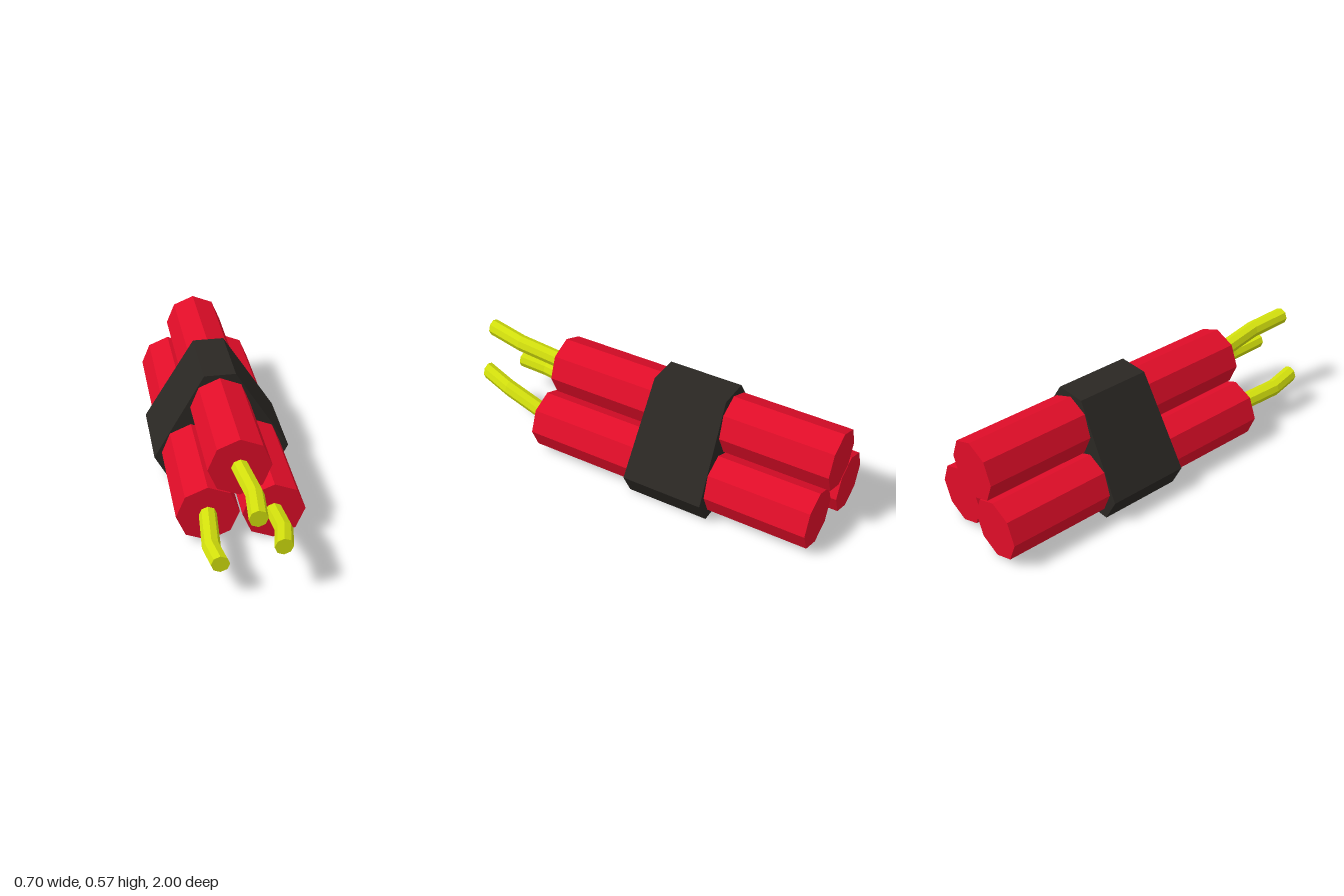
import * as THREE from 'three';

const material = (color) => new THREE.MeshStandardMaterial({ color, flatShading: true });
const red = material(0xe00d28);
const black = material(0x2a2723);
const yellow = material(0xd3e00d);

// Joins matching rings of [x, y, z] points (counter-clockwise from +z, ordered back to front) into a capped solid.
function loft(rings) {
  const n = rings[0].length;
  const positions = [];
  const tri = (a, b, c) => positions.push(...a, ...b, ...c);
  for (let r = 0; r < rings.length - 1; r++) {
    for (let i = 0; i < n; i++) {
      const j = (i + 1) % n;
      const [a, b, c, d] = [rings[r][i], rings[r][j], rings[r + 1][j], rings[r + 1][i]];
      tri(a, b, c);
      tri(a, c, d);
    }
  }
  const back = rings[0], front = rings[rings.length - 1];
  for (let i = 1; i < n - 1; i++) {
    tri(back[0], back[i + 1], back[i]);
    tri(front[0], front[i], front[i + 1]);
  }
  const geometry = new THREE.BufferGeometry();
  geometry.setAttribute('position', new THREE.Float32BufferAttribute(positions, 3));
  geometry.computeVertexNormals();
  return geometry;
}

// Upright octagon with a corner at the top
const octagon = ([x, y, z], radius) => Array.from({ length: 8 }, (_, i) => {
  const a = i * Math.PI / 4;
  return [x + radius * Math.cos(a), y + radius * Math.sin(a), z];
});

export function createModel() {
  const group = new THREE.Group();
  const add = (name, geometry, mat) => {
    const mesh = new THREE.Mesh(geometry, mat);
    mesh.name = name;
    group.add(mesh);
  };

  // Sticks, each with a bent fuse starting inside its front end
  const sticks = [
    { name: 'top', x: -0.008, y: 0.405, back: -1, front: 0.523,
      bend: [0.007, 0.445, 0.8], tip: [-0.016, 0.468, 1] },
    { name: 'right', x: -0.159, y: 0.157, back: -1, front: 0.523,
      bend: [-0.185, 0.172, 0.79], tip: [-0.168, 0.193, 0.937] },
    { name: 'left', x: 0.152, y: 0.157, back: -0.975, front: 0.549,
      bend: [0.143, 0.24, 0.8], tip: [0.108, 0.275, 0.963] },
  ];
  for (const { name, x, y, back, front, bend, tip } of sticks) {
    add(`${name}Stick`, loft([back, front].map((z) => octagon([x, y, z], 0.152))), red);
    add(`${name}Fuse`, loft([[x, y, front - 0.01], bend, tip].map((p) => octagon(p, 0.043))), yellow);
  }

  // Band around the sticks: corners as x, y, back z, front z
  const corners = [
    [0.348, 0.135, -0.453, -0.03],
    [0.073, 0.573, -0.433, -0.046],
    [-0.087, 0.573, -0.433, -0.046],
    [-0.35, 0.132, -0.453, -0.03],
    [-0.28, 0.003, -0.452, -0.022],
    [0.275, 0, -0.452, -0.022],
  ];
  add('band', loft([2, 3].map((k) => corners.map((c) => [c[0], c[1], c[k]]))), black);

  return group;
}
